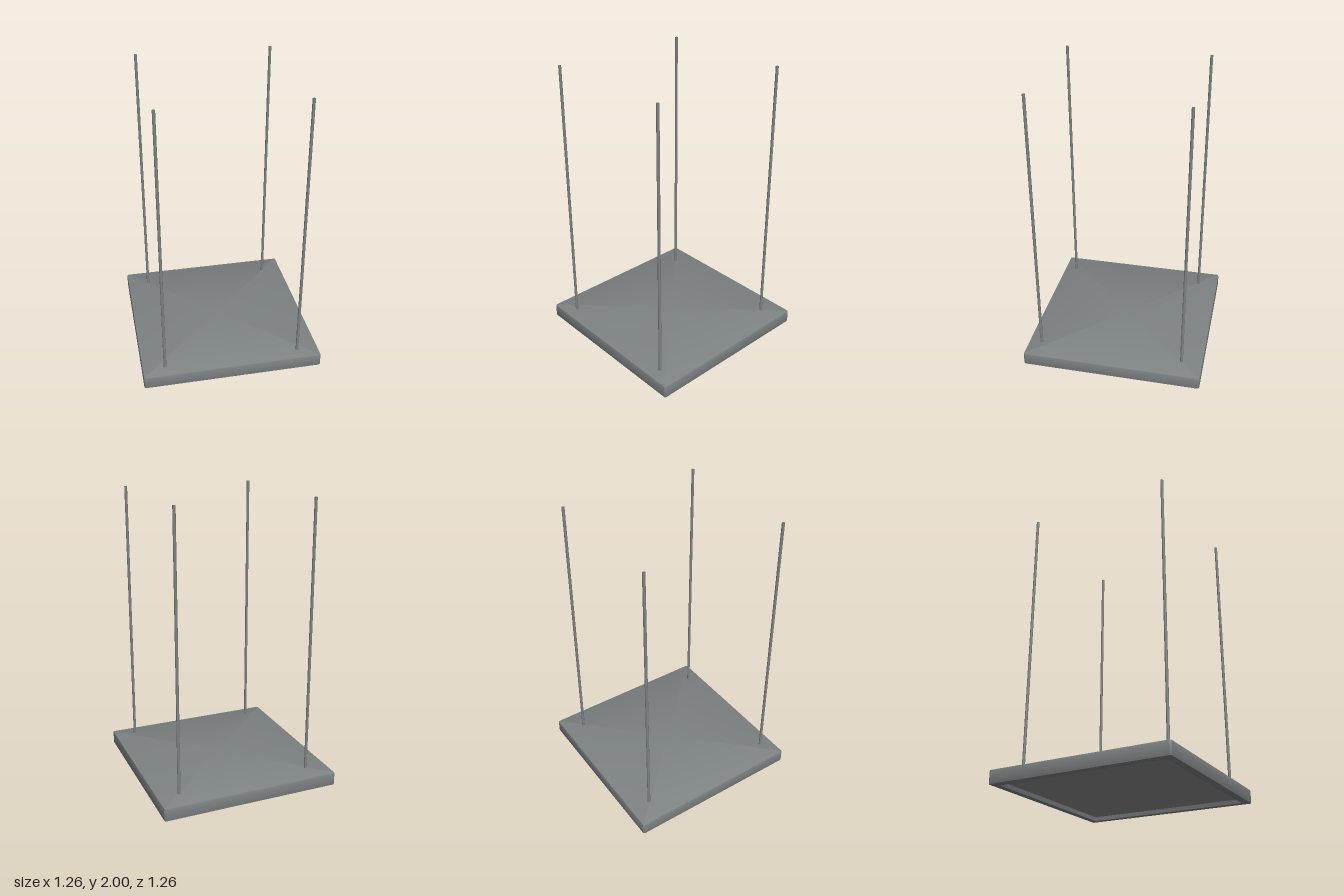
import * as THREE from 'three';
import { toCreasedNormals } from 'three/addons/utils/BufferGeometryUtils.js';

// Rounded-square ring of points, counter-clockwise seen from above
function squareRing(half, y, radius) {
  const pts = [];
  const signs = [[1, 1], [-1, 1], [-1, -1], [1, -1]];
  signs.forEach(([sx, sz], corner) => {
    for (let i = 0; i <= 3; i++) {
      const a = (corner + i / 3) * Math.PI / 2;
      pts.push(sx * (half - radius) + Math.cos(a) * radius, y,
        sz * (half - radius) + Math.sin(a) * radius);
    }
  });
  return pts;
}

// Loft square rings along a profile of [half width, height, corner radius]
function loftSquares(profile) {
  const n = 16, pos = [], index = [];
  profile.forEach(p => pos.push(...squareRing(...p)));
  for (let r = 0; r < profile.length - 1; r++) {
    for (let i = 0; i < n; i++) {
      const a = r * n + i, b = r * n + (i + 1) % n;
      index.push(a, b, a + n, b, b + n, a + n);
    }
  }
  const g = new THREE.BufferGeometry();
  g.setAttribute('position', new THREE.Float32BufferAttribute(pos, 3));
  g.setIndex(index);
  return toCreasedNormals(g, Math.PI / 5);
}

export function createModel() {
  const model = new THREE.Group();
  model.name = 'hangingPanelLamp';

  const metal = new THREE.MeshStandardMaterial({ color: 0x7d8283, side: THREE.DoubleSide });
  metal.name = 'grey metal';
  const diffuser = new THREE.MeshStandardMaterial({ color: 0x8c8c8c });
  diffuser.name = 'neutral grey diffuser';

  const add = (name, geometry, material, x = 0, y = 0, z = 0) => {
    const mesh = new THREE.Mesh(geometry, material);
    mesh.name = name;
    mesh.position.set(x, y, z);
    model.add(mesh);
    return mesh;
  };

  // Housing: top sheet, softened outer edges, bottom rim and recess wall
  add('housing', loftSquares([
    [0.001, 0.095, 0.0005], [0.622, 0.095, 0.008], [0.628, 0.092, 0.012],
    [0.63, 0.086, 0.014], [0.63, 0.01, 0.014], [0.628, 0.003, 0.012],
    [0.622, 0, 0.008], [0.578, 0, 0.004], [0.573, 0.028, 0.004],
  ]), metal);

  // Recessed panel facing down
  const panel = add('diffuserPanel', new THREE.PlaneGeometry(1.146, 1.146), diffuser, 0, 0.027, 0);
  panel.rotation.x = Math.PI / 2;

  // Four thin open tubes that suspend the housing
  const rodGeometry = new THREE.CylinderGeometry(0.01, 0.01, 1.91, 16, 1, true);
  for (const [side, x] of [['Right', -0.473], ['Left', 0.478]]) {
    for (const [end, z] of [['front', 0.539], ['back', -0.483]]) {
      add(`${end}${side}Rod`, rodGeometry, metal, x, 1.045, z);
    }
  }
  return model;
}
